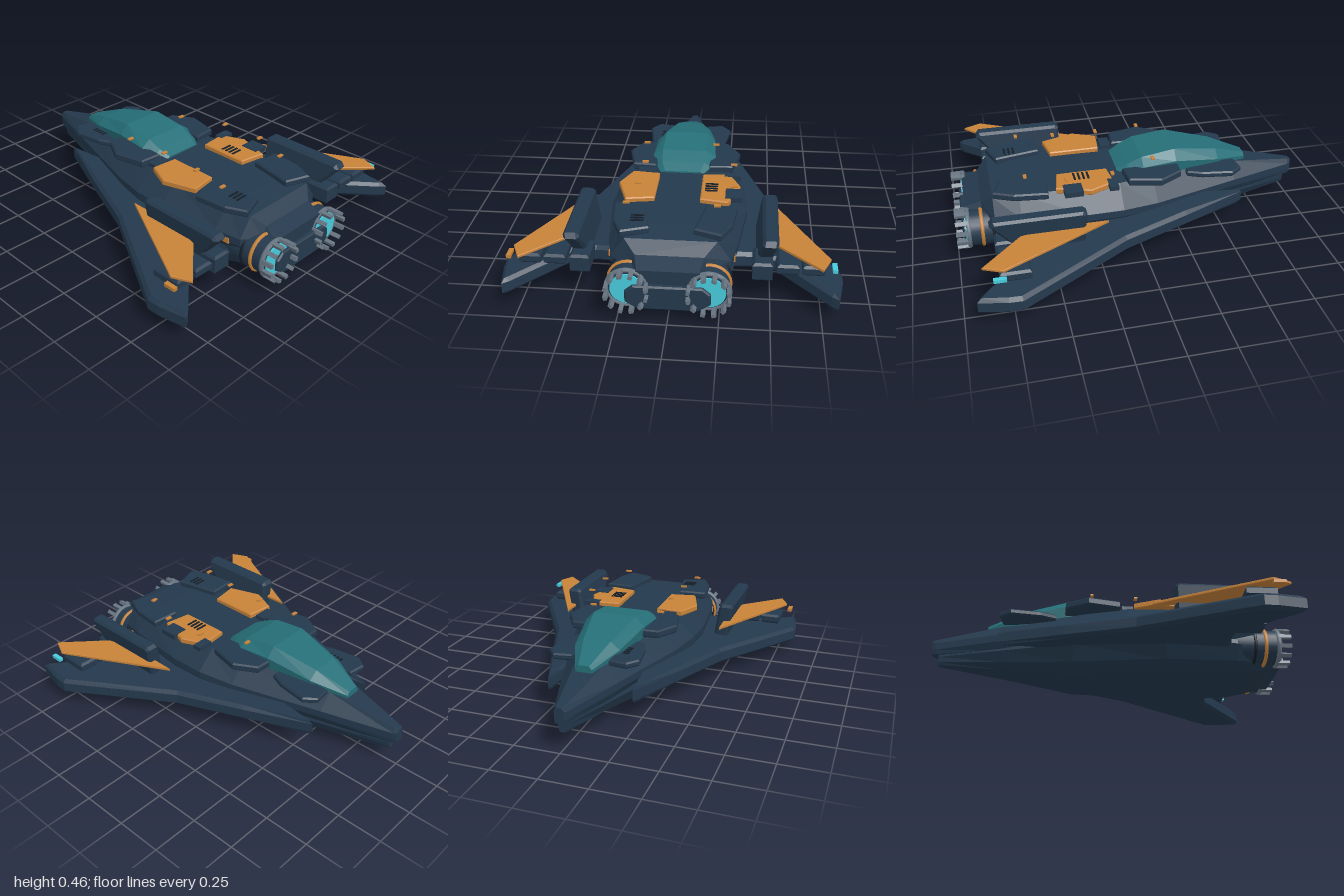
import * as THREE from 'three';

const mat = (name, color) => {
  const m = new THREE.MeshStandardMaterial({ color });
  m.name = name;
  return m;
};

export function createModel() {
  const ship = new THREE.Group();
  ship.name = 'starfighter';
  const navy = mat('navy hull', 0x24394d);
  const orange = mat('orange trim', 0xc88339);
  const teal = mat('teal glass', 0x266f78);
  const cyan = mat('cyan glow', 0x48cbdc);
  const grey = mat('grey metal', 0x687582);
  const dark = mat('dark vent', 0x141e29);

  const add = (name, geo, material, x = 0, y = 0, z = 0) => {
    const mesh = new THREE.Mesh(geo, material);
    mesh.name = name;
    mesh.position.set(x, y, z);
    ship.add(mesh);
    return mesh;
  };
  const box = (name, m, x, y, z, w, h, d) => add(name, new THREE.BoxGeometry(w, h, d), m, x, y, z);

  // Faceted skin over mirrored cross-sections; half = right-hand points from bottom to top
  const loft = (name, material, sections) => {
    const rings = sections.map(({ z, half }) => [
      ...half.map(([x, y]) => [x, y, z]),
      ...half.slice().reverse().map(([x, y]) => [-x, y, z]),
    ]);
    const pos = [];
    const tri = (a, b, c) => pos.push(...a, ...b, ...c);
    const n = rings[0].length;
    for (let i = 0; i < rings.length - 1; i++) {
      for (let j = 0; j < n; j++) {
        const k = (j + 1) % n, a = rings[i], b = rings[i + 1];
        tri(a[j], a[k], b[k]);
        tri(a[j], b[k], b[j]);
      }
    }
    const first = rings[0], last = rings[rings.length - 1];
    for (let j = 1; j < n - 1; j++) {
      tri(first[0], first[j + 1], first[j]);
      tri(last[0], last[j], last[j + 1]);
    }
    const geo = new THREE.BufferGeometry();
    geo.setAttribute('position', new THREE.Float32BufferAttribute(pos, 3));
    geo.computeVertexNormals();
    return add(name, geo, material);
  };

  // Bevelled slab from an outline
  const extrude = (pts, depth, bevel) => {
    const shape = new THREE.Shape(pts.map(([x, y]) => new THREE.Vector2(x, y)));
    const geo = new THREE.ExtrudeGeometry(shape, {
      depth: depth - 2 * bevel, bevelEnabled: bevel > 0, bevelSize: bevel,
      bevelThickness: bevel, bevelOffset: -bevel, bevelSegments: 1,
    });
    return geo.translate(0, 0, bevel);
  };
  // Horizontal plate from (x, z) points, mirrored by side
  const plate = (pts, side, y, h, bevel) =>
    extrude(pts.map(([x, z]) => [side * x, -z]), h, bevel).rotateX(-Math.PI / 2).translate(0, y, 0);

  // Upper hull: z, half width, bottom, shoulder, top, half width of top
  loft('upperHull', navy, [
    [-1, 0.025, 0.16, 0.225, 0.243, 0.015],
    [-0.98, 0.035, 0.155, 0.22, 0.247, 0.02],
    [-0.6, 0.155, 0.14, 0.23, 0.315, 0.08],
    [-0.1, 0.31, 0.13, 0.24, 0.355, 0.2],
    [0.1, 0.36, 0.12, 0.255, 0.362, 0.25],
    [0.3, 0.37, 0.12, 0.26, 0.365, 0.26],
    [0.65, 0.33, 0.12, 0.26, 0.365, 0.25],
    [0.79, 0.3, 0.12, 0.25, 0.355, 0.23],
    [0.85, 0.2, 0.12, 0.24, 0.3, 0.17],
    [0.94, 0.18, 0.11, 0.22, 0.27, 0.15],
  ].map(([z, w, b, m, t, tw]) => ({ z, half: [[w * 0.85, b], [w, m - 0.04], [w, m], [tw, t]] })));

  // Lower hull keel: z, half width, top, bottom, half width of bottom
  loft('lowerHull', navy, [
    [-0.96, 0.025, 0.155, 0.095, 0.015],
    [-0.6, 0.14, 0.165, 0.05, 0.07],
    [-0.2, 0.27, 0.175, 0, 0.15],
    [0.3, 0.34, 0.18, 0.004, 0.2],
    [0.7, 0.31, 0.18, 0.015, 0.19],
    [0.82, 0.25, 0.18, 0.035, 0.17],
    [0.94, 0.18, 0.17, 0.07, 0.14],
  ].map(([z, w, t, b, bw]) => ({
    z, half: [[bw, b], [bw + (w - bw) * 0.6, b + (t - b) * 0.25], [w, t - (t - b) * 0.25], [w * 0.95, t]],
  })));

  // Canopy: z, half width, base, top, half width of top
  loft('canopy', teal, [
    [-0.69, 0.045, 0.29, 0.335, 0.03],
    [-0.5, 0.125, 0.3, 0.407, 0.075],
    [-0.24, 0.17, 0.33, 0.462, 0.12],
    [-0.05, 0.18, 0.34, 0.436, 0.125],
    [0.03, 0.155, 0.34, 0.4, 0.12],
    [0.09, 0.12, 0.34, 0.37, 0.1],
  ].map(([z, w, b, t, tw]) => ({ z, half: [[w * 0.95, b], [w, b + (t - b) * 0.6], [tw, t]] })));

  // Rear plate between the engines
  add('rearPlate', extrude([[-0.15, 0.06], [0.15, 0.06], [0.21, 0.1], [0.21, 0.16],
    [0.17, 0.195], [-0.17, 0.195], [-0.21, 0.16], [-0.21, 0.1]], 0.05, 0.008), navy, 0, 0, 0.915);

  for (const s of [1, -1]) {
    // Swept wing, drooping towards the tip
    const wing = plate([[0.235, -0.615], [0.38, -0.25], [0.52, 0.12], [0.855, 0.71], [0.853, 0.78],
      [0.825, 0.93], [0.79, 0.91], [0.52, 0.655], [0.4, 0.645], [0.25, 0.67], [0.25, 0], [0.2, -0.4]], s, 0.115, 0.09, 0.018);
    const p = wing.attributes.position;
    for (let i = 0; i < p.count; i++) p.setY(i, p.getY(i) - 0.09 * (Math.abs(p.getX(i)) - 0.36));
    wing.computeVertexNormals();
    add('wing', wing, navy);

    // Raised orange wing panel and the equipment blocks below it
    add('wingPanel', plate([[0.48, 0.21], [0.785, 0.79], [0.74, 0.89], [0.52, 0.68], [0.475, 0.5]], s, 0.272, 0.016, 0.003), orange);
    const block = (x, y, w, h) => add('wingBlock',
      extrude([[-w, -0.08], [w, -0.08], [w, 0.08], [-w, 0.08]], h, 0.012).rotateX(-Math.PI / 2), navy, s * x, y, 0.73);
    block(0.455, 0.15, 0.05, 0.1);
    block(0.58, 0.192, 0.055, 0.055);
    block(0.705, 0.192, 0.055, 0.055);

    // Upright fin leaning outwards
    const fin = extrude([[-0.34, 0.15], [-0.33, 0.37], [-0.35, 0.385], [-0.81, 0.385], [-0.83, 0.36], [-0.66, 0.15]], 0.08, 0.014);
    fin.rotateY(Math.PI / 2);
    const f = fin.attributes.position;
    for (let i = 0; i < f.count; i++) f.setX(i, f.getX(i) - 0.04 + s * (0.455 + 0.15 * (f.getY(i) - 0.15)));
    fin.computeVertexNormals();
    add('fin', fin, navy);

    // Armour plates along the back
    add('foreArmour', plate([[0.1, -0.6], [0.2, -0.615], [0.25, -0.55], [0.225, -0.38], [0.19, -0.3], [0.1, -0.3]], s, 0.313, 0.034, 0.008), navy);
    add('midArmour', plate([[0.14, -0.25], [0.25, -0.245], [0.32, -0.12], [0.28, 0.055], [0.15, 0.065]], s, 0.352, 0.044, 0.008), navy);
    add('orangeArmour', plate([[0.12, 0.15], [0.27, 0.135], [0.33, 0.27], [0.27, 0.455], [0.12, 0.43]], s, 0.355, 0.035, 0.006), orange);
    add('rearArmour', plate([[0.16, 0.49], [0.32, 0.5], [0.3, 0.68], [0.25, 0.79], [0.11, 0.74]], s, 0.355, 0.04, 0.008), navy);

    // Engine nacelle with rings, glow and nozzle studs
    const ex = s * 0.2, ey = 0.165;
    const tube = new THREE.CylinderGeometry(0.1, 0.1, 0.3, 20).rotateX(Math.PI / 2);
    add('engine', tube, navy, ex, ey, 0.79);
    add('engineGlow', new THREE.CylinderGeometry(0.083, 0.083, 0.008, 24).rotateX(Math.PI / 2), cyan, ex, ey, 0.945);
    add('engineBand', new THREE.TorusGeometry(0.1, 0.011, 6, 24), orange, ex, ey, 0.86);
    add('engineRing', new THREE.TorusGeometry(0.1, 0.013, 6, 24), grey, ex, ey, 0.932);
    add('engineCollar', new THREE.TorusGeometry(0.1, 0.009, 6, 24), dark, ex, ey, 0.8);
    for (let i = 0; i < 12; i++) {
      const a = (i + 0.5) * Math.PI / 6;
      const stud = box('nozzleStud', grey, ex + Math.cos(a) * 0.102, ey + Math.sin(a) * 0.102, 0.965, 0.018, 0.022, 0.07);
      stud.rotation.z = a;
    }
    box('hullMarker', orange, s * 0.312, 0.22, 0.7, 0.016, 0.03, 0.06);

    // Wing tip light
    box('tipLight', s > 0 ? cyan : orange, s * 0.803, 0.248, 0.81, 0.024, 0.018, 0.065);
  }

  // Hovering marker bars
  for (const [x, z] of [[-0.22, -0.1], [0.18, -0.1], [-0.2, 0.15], [0.29, 0.15],
    [-0.21, 0.4], [0.3, 0.4], [-0.24, 0.61], [0.22, 0.61]]) {
    box('markerBar', orange, x, 0.455, z, 0.034, 0.008, 0.018);
  }

  // Vent slats on the armour
  for (const [x, z, y, count] of [[0.175, 0.265, 0.391, 4], [-0.18, 0.635, 0.396, 3], [-0.155, -0.49, 0.348, 4]]) {
    for (let i = 0; i < count; i++) box('ventSlat', dark, x, y, z + i * 0.025, x < -0.16 || x > 0 ? 0.068 : 0.03, 0.006, 0.011);
  }

  // Small equipment boxes
  box('equipmentBox', navy, 0.297, 0.38, 0.365, 0.09, 0.03, 0.1);
  box('equipmentBox', navy, 0.285, 0.38, 0.145, 0.09, 0.025, 0.05);
  box('equipmentBox', navy, -0.195, 0.37, 0.1, 0.1, 0.025, 0.06);

  return ship;
}
